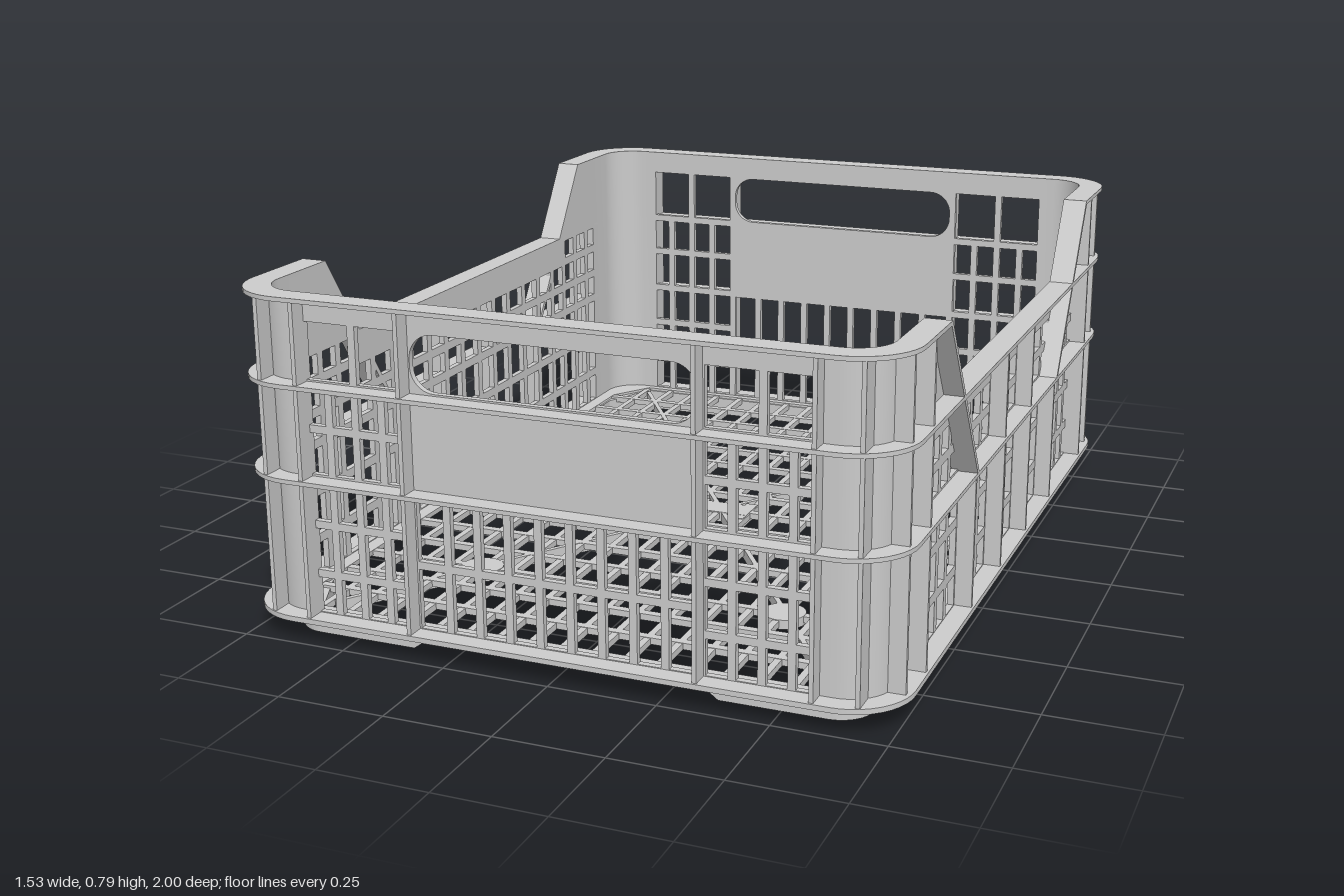
import * as THREE from 'three';
import { toCreasedNormals } from 'three/addons/utils/BufferGeometryUtils.js';

const mat = new THREE.MeshStandardMaterial({ color: 0xcccccc });
const SIGNS = [-1, 1];
const T = 0.015; // wall thickness
const X = 0.72, Z = 0.955; // outer faces of the walls

const shapeOf = (pts) => new THREE.Shape(pts.map(([a, b]) => new THREE.Vector2(a, b)));

// points along an arc, angles in degrees
function arc(cx, cy, r, a0, a1, n = 10) {
  return Array.from({ length: n + 1 }, (_, i) => {
    const a = THREE.MathUtils.degToRad(a0 + ((a1 - a0) * i) / n);
    return [cx + r * Math.cos(a), cy + r * Math.sin(a)];
  });
}

function roundRect(hx, hy, r) {
  return [
    ...arc(hx - r, hy - r, r, 0, 90), ...arc(r - hx, hy - r, r, 90, 180),
    ...arc(r - hx, r - hy, r, 180, 270), ...arc(hx - r, r - hy, r, 270, 360),
  ];
}

function rect(x0, x1, y0, y1) {
  return [[x0, y0], [x1, y0], [x1, y1], [x0, y1]];
}

// rectangular holes between bar centre lines
function cutGrid(shape, xs, ys, bar) {
  const h = bar / 2;
  for (let i = 0; i < xs.length - 1; i++)
    for (let j = 0; j < ys.length - 1; j++)
      shape.holes.push(shapeOf(rect(xs[i] + h, xs[i + 1] - h, ys[j] + h, ys[j + 1] - h)));
}

export function createModel() {
  const crate = new THREE.Group();
  crate.name = 'crate';

  function add(name, geo, parent = crate) {
    const mesh = new THREE.Mesh(geo, mat);
    mesh.name = name;
    parent.add(mesh);
    return mesh;
  }
  function box(name, x0, x1, y0, y1, z0, z1) {
    const mesh = add(name, new THREE.BoxGeometry(x1 - x0, y1 - y0, z1 - z0));
    mesh.position.set((x0 + x1) / 2, (y0 + y1) / 2, (z0 + z1) / 2);
    return mesh;
  }
  const extrude = (shape, depth) =>
    toCreasedNormals(new THREE.ExtrudeGeometry(shape, { depth, bevelEnabled: false, curveSegments: 10 }), 0.6);
  // plan outline (x, -z) raised from y0 to y1
  const plan = (name, shape, y0, y1) =>
    add(name, extrude(shape, y1 - y0).rotateX(-Math.PI / 2).translate(0, y0, 0));
  // upright plate facing z, outline (x, y)
  const endPlate = (name, shape, s, outer = Z, t = T) =>
    add(name, extrude(shape, t).translate(0, 0, s > 0 ? outer - t : -outer));
  // upright plate facing x, outline (z, y)
  const sidePlate = (name, shape, s, outer = X, t = T) =>
    add(name, extrude(shape, t).rotateY(-Math.PI / 2).translate(s > 0 ? outer : t - outer, 0, 0));

  // end walls with lattice, solid panel and hand slot
  for (const s of SIGNS) {
    const wall = shapeOf(rect(-0.59, 0.59, 0.05, 0.79));
    for (const m of SIGNS) {
      const sorted = (a) => a.map((v) => v * m).sort((p, q) => p - q);
      cutGrid(wall, sorted([0.333, 0.4, 0.465, 0.53, 0.594]), [0.055, 0.155, 0.27, 0.378, 0.49, 0.592], 0.018);
      cutGrid(wall, sorted([0.333, 0.465, 0.594]), [0.592, 0.739], 0.018);
    }
    const bars = [-0.333];
    for (let i = 0; i < 8; i++) bars.push(-0.252 + i * 0.072);
    cutGrid(wall, [...bars, 0.333], [0.055, 0.21, 0.378], 0.018);
    wall.holes.push(shapeOf(roundRect(0.325, 0.064, 0.055).map(([x, y]) => [x, y + 0.665])));
    endPlate('endWall', wall, s);
    for (const x of [-0.585, -0.333, 0.333, 0.585])
      box('endRib', x - 0.005, x + 0.005, 0.05, 0.79, s > 0 ? Z - T : -0.995, s > 0 ? 0.995 : T - Z);
  }

  // low side walls with lattice
  const half = [0.045, 0.13, 0.215, 0.305, 0.395, 0.485, 0.56, 0.635, 0.71, 0.775];
  const zBars = [...half.map((v) => -v).reverse(), ...half];
  for (const s of SIGNS) {
    const wall = shapeOf(rect(-0.77, 0.77, 0.05, 0.595));
    cutGrid(wall, zBars, [0.053, 0.148, 0.262, 0.376, 0.45, 0.525], 0.022);
    cutGrid(wall, zBars.slice(0, 4), [0.525, 0.596], 0.022);
    cutGrid(wall, zBars.slice(-4), [0.525, 0.596], 0.022);
    sidePlate('sideWall', wall, s);
    for (const m of SIGNS) {
      for (const [z, top] of [[0.13, 0.595], [0.395, 0.38], [0.765, 0.79]])
        box('sideRib', ...(s > 0 ? [X - T, 0.76] : [-0.76, T - X]), 0.05, top, m * z - 0.005, m * z + 0.005);
      // shoulder rising to the raised corner, edged by a sloping flange
      sidePlate('shoulder', shapeOf([[0.77, 0.59], [0.77, 0.79], [0.665, 0.79], [0.532, 0.59]].map(([z, y]) => [m * z, y])), s);
      sidePlate('slopeFlange', shapeOf([[0.665, 0.79], [0.392, 0.38], [0.406, 0.38], [0.679, 0.79]].map(([z, y]) => [m * z, y])), s, 0.765, 0.06);
    }
  }

  // rounded corner posts, corner ribs and feet
  for (const sx of SIGNS) for (const sz of SIGNS) {
    const corner = (pts) => shapeOf(pts.map(([x, z]) => [sx * x, -sz * z]));
    plan('cornerPost', corner([
      [0.585, Z], ...arc(X - 0.1, Z - 0.1, 0.1, 90, 0), [X, 0.765],
      [X - T, 0.765], ...arc(X - 0.1, Z - 0.1, 0.085, 0, 90), [0.585, Z - T],
    ]), 0.05, 0.79);
    plan('cornerEndRib', corner(rect(0.675, 0.685, 0.92, 0.985)), 0.05, 0.79);
    plan('cornerSideRib', corner(rect(0.705, 0.752, 0.88, 0.89)), 0.05, 0.79);
    plan('foot', corner([
      [0.36, 0.93], ...arc(0.6, 0.85, 0.08, 90, 0), [0.68, 0.77],
      [0.665, 0.77], [0.6, 0.915], [0.36, 0.915],
    ]), 0, 0.055);
    sidePlate('footRamp', shapeOf([[0.77, 0], [0.77, 0.055], [0.71, 0.055], [0.72, 0.045]].map(([z, y]) => [sz * z, y])), sx, 0.68);
  }
  for (const s of SIGNS)
    endPlate('footSkirt', shapeOf([[-0.36, 0], [-0.33, 0.022], [0.33, 0.022], [0.36, 0], [0.36, 0.055], [-0.36, 0.055]]), s, 0.93);

  // horizontal flanges running round the crate
  for (const y of [0.372, 0.587]) {
    const ring = shapeOf(roundRect(0.765, 1, 0.14));
    ring.holes.push(shapeOf(roundRect(X - T, Z - T, 0.085)));
    plan('flange', ring, y, y + 0.01);
  }
  for (const s of SIGNS) {
    plan('topRim', shapeOf([
      [0.765, 0.665], ...arc(0.625, 0.86, 0.14, 0, 90), ...arc(-0.625, 0.86, 0.14, 90, 180), [-0.765, 0.665],
      [-0.705, 0.665], ...arc(-0.62, 0.855, 0.085, 180, 90), ...arc(0.62, 0.855, 0.085, 90, 0), [0.705, 0.665],
    ].map(([x, z]) => [x, -s * z])), 0.78, 0.79);
  }

  // floor: border with chamfered corners, lattice, diagonal braces
  const border = shapeOf(roundRect(0.765, 1, 0.14));
  border.holes.push(shapeOf([
    [0.67, -0.81], [0.67, 0.81], [0.6, 0.92], [-0.6, 0.92],
    [-0.67, 0.81], [-0.67, -0.81], [-0.6, -0.92], [0.6, -0.92],
  ]));
  plan('floorBorder', border, 0.05, 0.062);
  for (let k = -8; k <= 8; k++) {
    const x = k * 0.0752, zEnd = Math.abs(k) === 8 ? 0.915 : 0.925;
    box('floorLongBar', x - 0.008, x + 0.008, 0.045, 0.06, -zEnd, zEnd);
  }
  for (let k = -7; k <= 7; k++) {
    const z = k * 0.115;
    box('floorCrossBar', -0.675, 0.675, 0.046, 0.061, z - 0.01, z + 0.01);
  }
  for (const s of SIGNS) {
    const brace = box('diagonalBrace', -0.006, 0.006, 0.035, 0.061, -1.06, 1.06);
    brace.rotation.y = s * Math.atan2(0.6, 0.905);
    for (const m of SIGNS) {
      const disc = add('floorDisc', new THREE.CylinderGeometry(0.05, 0.05, 0.022, 24));
      disc.position.set(s * 0.378, 0.051, m * 0.575);
      box('hubEar', s * 0.065 - 0.015, s * 0.065 + 0.015, 0.036, 0.0615, m * 0.04 - 0.015, m * 0.04 + 0.015);
    }
  }
  box('hub', -0.08, 0.08, 0.036, 0.062, -0.04, 0.03);

  return crate;
}
